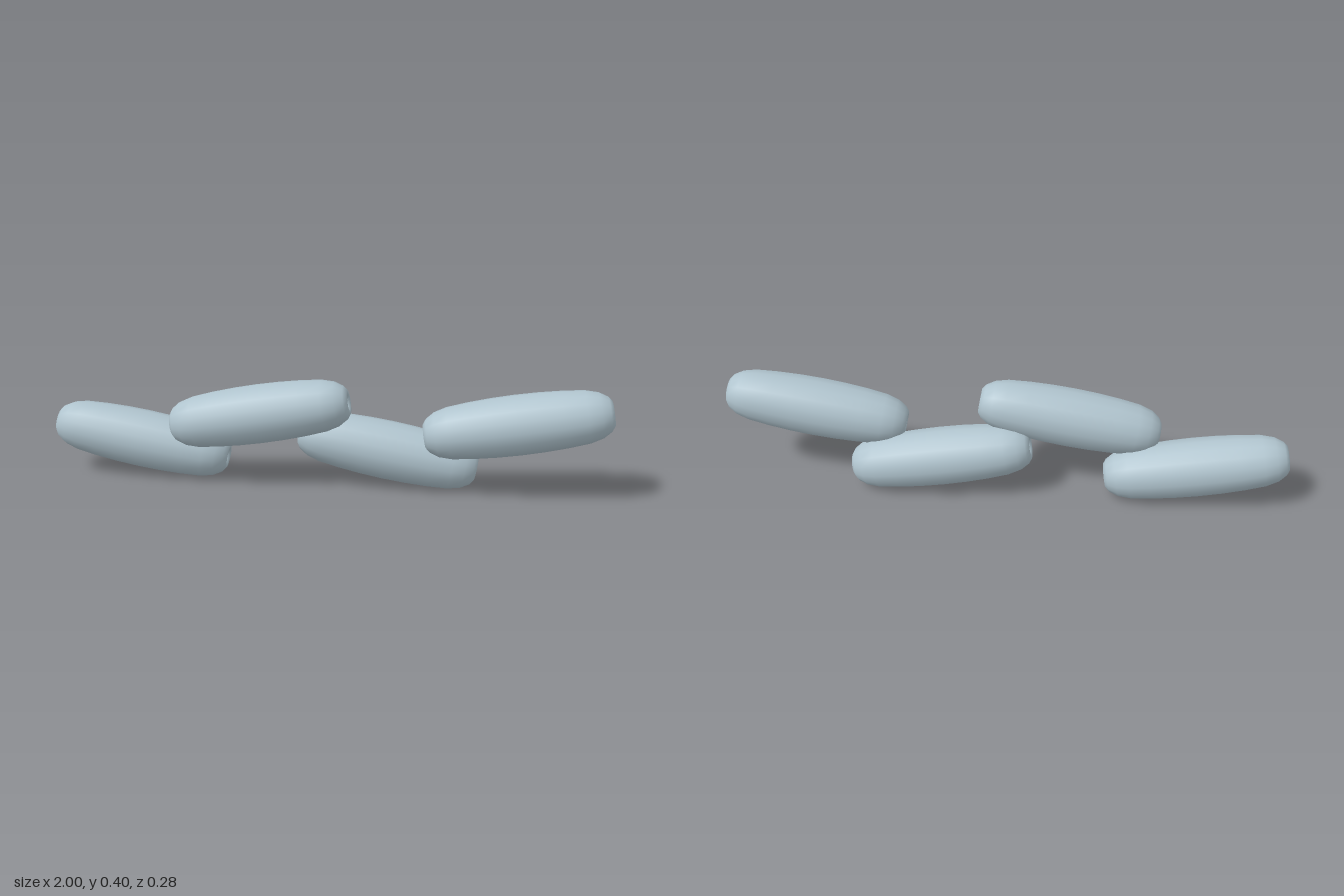
import * as THREE from 'three';

// Half profile of a bead, from its middle to the centre of the end dimple: [radius, distance along axis]
const HALF = [
  [0.105, 0], [0.1035, 0.08], [0.099, 0.16], [0.0915, 0.235], [0.079, 0.28],
  [0.06, 0.31], [0.043, 0.322], [0.03, 0.322], [0.023, 0.312], [0.017, 0.297], [0, 0.288],
];

export function createModel() {
  const group = new THREE.Group();
  group.name = 'beadChain';
  const material = new THREE.MeshStandardMaterial({ color: 0xb0c4ce });
  material.name = 'pale blue grey';

  // Barrel with a rounded rim and a hollow in each end
  const lower = HALF.slice(1).reverse().map(([r, s]) => new THREE.Vector2(r, -s));
  const upper = HALF.map(([r, s]) => new THREE.Vector2(r, s));
  const geometry = new THREE.LatheGeometry([...lower, ...upper], 16);

  // Beads alternate low and high, tilting opposite ways
  for (let i = 0; i < 4; i++) {
    const side = i % 2 ? 1 : -1;
    const bead = new THREE.Mesh(geometry, material);
    bead.name = (side > 0 ? 'upperBead' : 'lowerBead') + (i < 2 ? 'Right' : 'Left');
    bead.position.set(-0.675 + 0.45 * i, 0.202 + 0.07 * side, 0.036 * side);
    bead.rotation.z = THREE.MathUtils.degToRad(-90 + 10 * side);
    group.add(bead);
  }
  return group;
}
